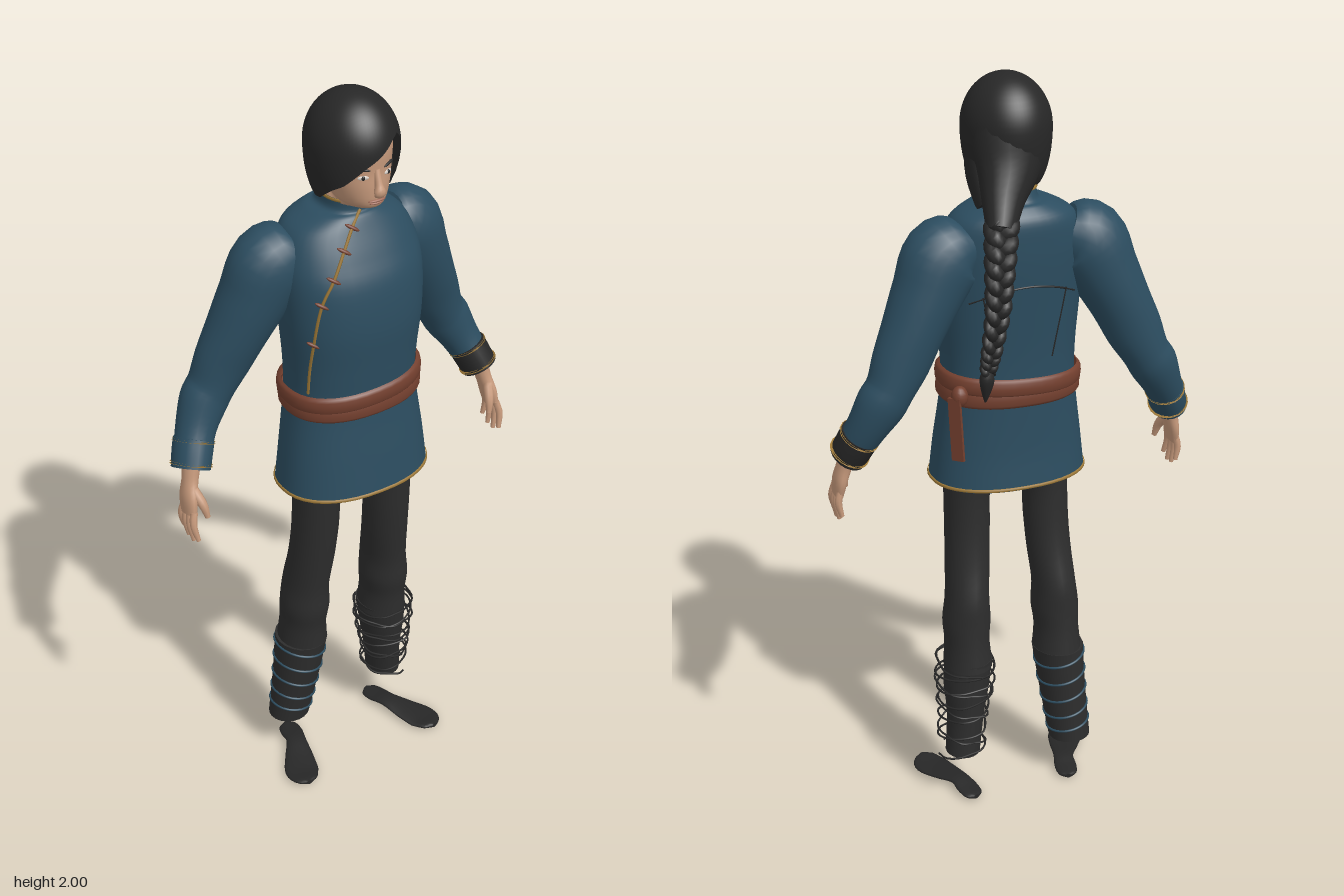
import * as THREE from 'three';

const V = (x, y, z) => new THREE.Vector3(x, y, z);
const mat = (name, color, side = THREE.FrontSide) => {
  const m = new THREE.MeshStandardMaterial({ color, side });
  m.name = name;
  return m;
};

// Grid closed around u, open along v
function grid(nu, nv, fn) {
  const pos = [], idx = [];
  for (let j = 0; j <= nv; j++) for (let i = 0; i < nu; i++) pos.push(...fn(i, j).toArray());
  for (let j = 0; j < nv; j++) for (let i = 0; i < nu; i++) {
    const k = (i + 1) % nu, a = j * nu + i, b = j * nu + k, c = b + nu, d = a + nu;
    idx.push(a, b, c, a, c, d);
  }
  const g = new THREE.BufferGeometry();
  g.setAttribute('position', new THREE.Float32BufferAttribute(pos, 3));
  g.setIndex(idx);
  g.computeVertexNormals();
  return g;
}

// Smooth interpolation of [x, y, z, ra, rb] stations
function stations(pts) {
  const c = new THREE.CatmullRomCurve3(pts.map(p => V(p[0], p[1], p[2])), false, 'catmullrom');
  const r = new THREE.CatmullRomCurve3(pts.map(p => V(p[3], p[4] ?? p[3], 0)), false, 'catmullrom');
  return t => ({ p: c.getPoint(t), t: c.getTangent(t), r: r.getPoint(t) });
}

// Loft of (super)elliptical sections; flat keeps the sections horizontal
function sweep(pts, { n = 20, sub = 4, flat = false, ref = V(0, 0, 1), pow = 1, caps = true } = {}) {
  const at = stations(pts), m = (pts.length - 1) * sub, rows = [];
  for (let j = 0; j <= m; j++) rows.push([j / m, 1]);
  if (caps) {
    rows.unshift([0, 0], [0, 1]);
    rows.push([1, 1], [1, 0]);
  }
  const frames = rows.map(([t, k]) => {
    const s = at(t);
    const T = flat ? V(0, Math.sign(s.t.y), 0) : s.t;
    const A = T.clone().cross(ref).normalize(), B = T.clone().cross(A);
    return { p: s.p, A: A.multiplyScalar(k * Math.max(s.r.x, 0.0005)), B: B.multiplyScalar(k * Math.max(s.r.y, 0.0005)) };
  });
  const sp = v => Math.sign(v) * Math.abs(v) ** pow;
  return grid(n, rows.length - 1, (i, j) => {
    const a = i / n * Math.PI * 2, f = frames[j];
    return f.p.clone().addScaledVector(f.A, sp(Math.cos(a))).addScaledVector(f.B, sp(Math.sin(a)));
  });
}

const cord = (pts, r, closed = false, seg = 60) =>
  new THREE.TubeGeometry(new THREE.CatmullRomCurve3(pts, closed), seg, r, 6, closed);

export function createModel() {
  const root = new THREE.Group();
  root.name = 'figure';
  const D = THREE.DoubleSide;
  const tunic = mat('tunic blue', 0x2c4d60, D), trouser = mat('trouser charcoal', 0x2d2d2d, D);
  const hair = mat('hair black', 0x272727, D), skin = mat('skin', 0xc79a7c), belt = mat('belt brown', 0x74402f, D);
  const gold = mat('trim gold', 0x9a7636), white = mat('eye white', 0xd8d0c8), lip = mat('lip', 0xa06a58);
  const add = (name, geo, m) => {
    const mesh = new THREE.Mesh(geo, m);
    mesh.name = name;
    root.add(mesh);
    return mesh;
  };
  const ball = (name, m, x, y, z, sx, sy, sz) => {
    const b = add(name, new THREE.SphereGeometry(1, 14, 10), m);
    b.position.set(x, y, z);
    b.scale.set(sx, sy, sz);
    return b;
  };

  // Tunic body
  const body = [[0, .945, .045, .208, .145], [0, 1.05, .043, .196, .136], [0, 1.2, .036, .176, .128], [0, 1.3, .038, .176, .132],
    [0, 1.42, .039, .186, .141], [0, 1.53, .03, .19, .14], [0, 1.6, .015, .183, .127], [0, 1.66, .001, .155, .11],
    [0, 1.692, .003, .1, .09], [0, 1.703, .005, .064, .076], [0, 1.735, .012, .057, .07]];
  const POW = .88, bodyAt = stations(body);
  add('tunicBody', sweep(body, { n: 40, sub: 5, flat: true, pow: POW, caps: false }), tunic);
  const section = y => {
    let lo = 0, hi = 1;
    for (let k = 0; k < 30; k++) {
      const m = (lo + hi) / 2;
      if (bodyAt(m).p.y < y) lo = m; else hi = m;
    }
    return bodyAt(lo);
  };
  // Point on the tunic front (side 1) or back (side -1)
  const surf = (x, y, side = 1) => {
    const s = section(y), c = Math.min(1, Math.abs(x) / s.r.x) ** (1 / POW);
    return V(x, y, s.p.z + side * s.r.y * Math.sqrt(1 - c * c) ** POW);
  };
  const band = (y0, y1, out) => [0, .2, .8, 1].map((k, i) => {
    const y = y0 + (y1 - y0) * k, s = section(y), o = out * (i % 3 ? 1 : .3);
    return [0, y, s.p.z, s.r.x + o, s.r.y + o];
  });
  const wrapBand = (name, y0, y1, out, m, tilt = 0) => {
    const g = sweep(band(y0, y1, out), { n: 40, sub: 2, flat: true, pow: POW, caps: false });
    g.translate(0, -y0, 0).rotateZ(tilt).translate(0, y0, 0);
    add(name, g, m);
  };
  wrapBand('hemTrim', .946, .955, .004, gold);
  wrapBand('collarTrim', 1.727, 1.735, .003, gold);
  wrapBand('lowerBelt', 1.175, 1.222, .011, belt, .015);
  wrapBand('upperBelt', 1.205, 1.253, .015, belt, .05);

  // Belt knot and hanging tail
  ball('beltKnot', belt, .165, 1.215, -.06, .022, .028, .022);
  const tail = add('beltTail', new THREE.BoxGeometry(.034, .17, .009), belt);
  tail.position.set(.178, 1.13, -.07);
  tail.rotation.set(0, 2.3, .06);

  // Diagonal closure with knotted fasteners
  const edge = [[0, 1.705], [-.035, 1.675], [-.07, 1.63], [-.11, 1.57], [-.142, 1.51], [-.158, 1.4], [-.16, 1.32], [-.16, 1.25]];
  add('closureCord', cord(edge.map(([x, y]) => surf(x, y)), .004), gold);
  for (const i of [1, 2, 3, 4, 5]) {
    const [x, y] = edge[i], p = surf(x, y);
    const b = ball('fastener', belt, p.x, p.y, p.z, .02, .005, .006);
    b.rotation.set(0, -.5, -.5);
  }
  // Back yoke seams
  const xs = [-.14, -.09, -.04, 0, .04, .09, .14];
  add('yokeSeam', cord(xs.map(x => surf(x, 1.5 - x * x * 2, -1)), .0025), hair);
  for (const s of [-1, 1])
    add('backSeam', cord([1.48, 1.42, 1.36, 1.3].map((y, i) => surf(s * (.11 - i * .012), y, -1)), .002), hair);

  // Arms, cuffs and hands
  for (const s of [-1, 1]) {
    const mir = pts => pts.map(([x, ...r]) => [x * s, ...r]);
    add('sleeve', sweep(mir([[.13, 1.605, -.012, .068, .07], [.188, 1.575, -.02, .102, .09], [.235, 1.49, -.03, .09, .087],
      [.28, 1.4, -.042, .079, .077], [.315, 1.325, -.052, .074, .066], [.345, 1.265, -.057, .063, .06], [.37, 1.225, -.056, .064, .058],
      [.405, 1.16, -.04, .052, .052], [.44, 1.085, -.008, .045, .05]]), { n: 24 }), tunic);
    add('cuff', sweep(mir([[.417, 1.14, -.03, .051, .054], [.43, 1.11, -.018, .05, .055], [.444, 1.076, -.003, .048, .054]])), s > 0 ? hair : tunic);
    const ring = (x, y, z) => add('cuffTrim', sweep(mir([[x, y, z, .053, .057], [x + .002, y - .005, z + .002, .053, .057]]), { sub: 1 }), gold);
    ring(.418, 1.138, -.029);
    ring(.439, 1.088, -.008);
    add('palm', sweep(mir([[.442, 1.09, -.003, .024, .026], [.453, 1.045, .005, .02, .026], [.463, 1.005, .014, .018, .035],
      [.469, .965, .022, .013, .034]]), { n: 14 }), skin);
    for (let f = 0; f < 4; f++) {
      const z = -.004 + f * .017, len = [.068, .085, .088, .075][f];
      add('finger', sweep(mir([[.468, .978, z, .01], [.475, .978 - len * .45, z + .004 * f - .003, .0095],
        [.468, .978 - len, z + .008 * f - .006, .006]]), { n: 8 }), skin);
    }
    add('thumb', sweep(mir([[.455, 1.03, .025, .014], [.443, .995, .05, .012], [.436, .96, .06, .007]]), { n: 8 }), skin);

    // Trouser legs
    add('trouserLeg', sweep(mir([[.085, 1.02, .045, .09, .085], [.108, .92, .05, .063, .072], [.112, .8, .045, .06, .068], [.117, .7, .033, .059, .069],
      [.125, .6, .015, .058, .075], [.128, .53, .013, .064, .076], [.13, .47, .006, .06, .073], [.13, .4, 0, .066, .076]]), { flat: true }), trouser);
    const shin = mir(s < 0
      ? [[.133, .405, 0, .07, .078], [.142, .3, -.008, .065, .07], [.152, .2, -.018, .061, .061], [.161, .12, -.026, .058, .055]]
      : [[.128, .42, 0, .064, .074], [.136, .34, -.004, .062, .068], [.143, .25, -.012, .05, .06], [.156, .14, -.024, .047, .052]]);
    add(s < 0 ? 'legWrap' : 'bareLeg', sweep(shin, { flat: true }), trouser);
    const at = stations(shin);
    // Point around the shin, t from top to bottom
    const round = (t, a, o) => {
      const q = at(Math.min(1, Math.max(0, t)));
      return V(q.p.x + (q.r.x + o) * Math.cos(a), q.p.y, q.p.z + (q.r.y + o) * Math.sin(a));
    };
    if (s < 0) for (let k = 0; k < 5; k++) {
      const loop = [];
      for (let i = 0; i < 16; i++) loop.push(round(.1 + k * .18 + .05 * Math.cos(i / 8 * Math.PI), i / 8 * Math.PI, .0005));
      add('wrapStripe', cord(loop, .0035, true), tunic);
    } else for (const [turns, ph] of [[6, 0], [-4, 1]]) {
      // Loose laces standing off the shin
      const pts = [];
      for (let i = 0; i <= 72; i++) {
        const t = i / 72, a = ph + t * turns * Math.PI * 2;
        pts.push(round(t, a, .01 + .012 * Math.max(0, Math.cos(a)) + .004 * Math.sin(i * 1.7)));
      }
      add('looseLace', cord(pts, .0028, false, 200), hair);
    }

    // Thin shoe soles, toes turned out
    add('sole', sweep(mir([[.138, .011, -.082, .008, .006], [.141, .011, -.068, .026, .008], [.148, .015, -.035, .031, .008],
      [.158, .021, .005, .028, .008], [.182, .014, .06, .04, .008], [.205, .01, .112, .047, .008], [.212, .013, .15, .032, .008],
      [.214, .015, .165, .008, .006]]), { ref: V(0, 1, 0), n: 16 }), hair);
  }
  add('hips', sweep([[0, 1.12, .04, .15, .11], [0, 1.0, .045, .158, .1], [0, .955, .045, .11, .08], [0, .925, .045, .05, .05]], { flat: true }), trouser);

  // Head and face
  add('head', sweep([[0, 1.66, .012, .052, .052], [0, 1.715, .022, .049, .054], [0, 1.735, .062, .046, .076], [0, 1.752, .067, .06, .086],
    [0, 1.79, .06, .075, .096], [0, 1.83, .052, .083, .102], [0, 1.88, .05, .086, .106], [0, 1.93, .045, .08, .098], [0, 1.97, .04, .045, .06]],
  { n: 28, flat: true }), skin);
  add('nose', sweep([[0, 1.838, .149, .008, .008], [0, 1.803, .159, .01, .011], [0, 1.784, .164, .015, .013], [0, 1.773, .156, .01, .006]], { n: 10 }), skin);
  ball('upperLip', lip, 0, 1.76, .152, .024, .004, .007);
  ball('lowerLip', lip, 0, 1.753, .15, .019, .004, .007);
  for (const s of [-1, 1]) {
    const e = ball('eye', white, s * .034, 1.822, .145, .014, .0055, .003);
    e.rotation.y = s * .4;
    ball('iris', hair, s * .034, 1.822, .1465, .0055, .0055, .003);
    const b = ball('brow', hair, s * .036, 1.843, .1455, .019, .0038, .004);
    b.rotation.set(0, s * .4, s * .18);
  }

  // Hair cap with a swept fringe: [azimuth in degrees, lower edge height]
  const line = [[-180, 1.725], [-120, 1.735], [-85, 1.75], [-62, 1.785], [-45, 1.805], [-20, 1.85], [0, 1.875], [22, 1.905],
    [36, 1.912], [50, 1.88], [60, 1.82], [70, 1.75], [90, 1.73], [120, 1.725], [180, 1.725]];
  const edgeY = d => {
    const i = Math.max(1, line.findIndex(p => p[0] >= d));
    const [a, b] = [line[i - 1], line[i]];
    return a[1] + (b[1] - a[1]) * (d - a[0]) / (b[0] - a[0]);
  };
  add('hairCap', grid(72, 22, (i, j) => {
    const d = -180 + i * 5, a = d * Math.PI / 180, yb = edgeY(d) - 1.87;
    const ph = Math.acos(yb / (yb > 0 ? .13 : .17)) * (1 - j / 22), c = Math.cos(ph);
    const r = Math.abs(Math.sin(ph)) ** (c < 0 ? .55 : 1);
    return V(.112 * r * Math.sin(a), 1.87 + c * (c > 0 ? .13 : .17), .043 + .125 * r * Math.cos(a));
  }), hair);
  add('sideLock', sweep([[.085, 1.84, .045, .018, .04], [.086, 1.76, .025, .022, .048], [.078, 1.69, -.03, .025, .04]]), hair);
  add('gatheredHair', sweep([[.005, 1.87, .01, .1, .085], [.02, 1.79, -.022, .085, .07], [.05, 1.72, -.068, .056, .05],
    [.075, 1.655, -.118, .036, .034]]), hair);

  // Three-strand braid
  const path = new THREE.CatmullRomCurve3([V(.068, 1.68, -.105), V(.09, 1.58, -.152), V(.1, 1.47, -.162), V(.112, 1.36, -.15), V(.12, 1.3, -.142)]);
  for (let k = 0; k < 3; k++) {
    const pts = [];
    for (let i = 0; i <= 44; i++) {
      const t = i / 44, p = path.getPoint(t), a = t * 24 + k * Math.PI * 2 / 3, f = 1 - .55 * t;
      pts.push([p.x + .025 * f * Math.sin(a), p.y, p.z + .015 * f * Math.sin(2 * a), .022 * f, .019 * f]);
    }
    add('braidStrand', sweep(pts, { n: 10, sub: 2 }), hair);
  }
  add('braidTip', sweep([[.119, 1.31, -.143, .013], [.122, 1.285, -.142, .019], [.124, 1.25, -.14, .011], [.125, 1.225, -.138, .002]], { n: 10 }), hair);
  return root;
}
